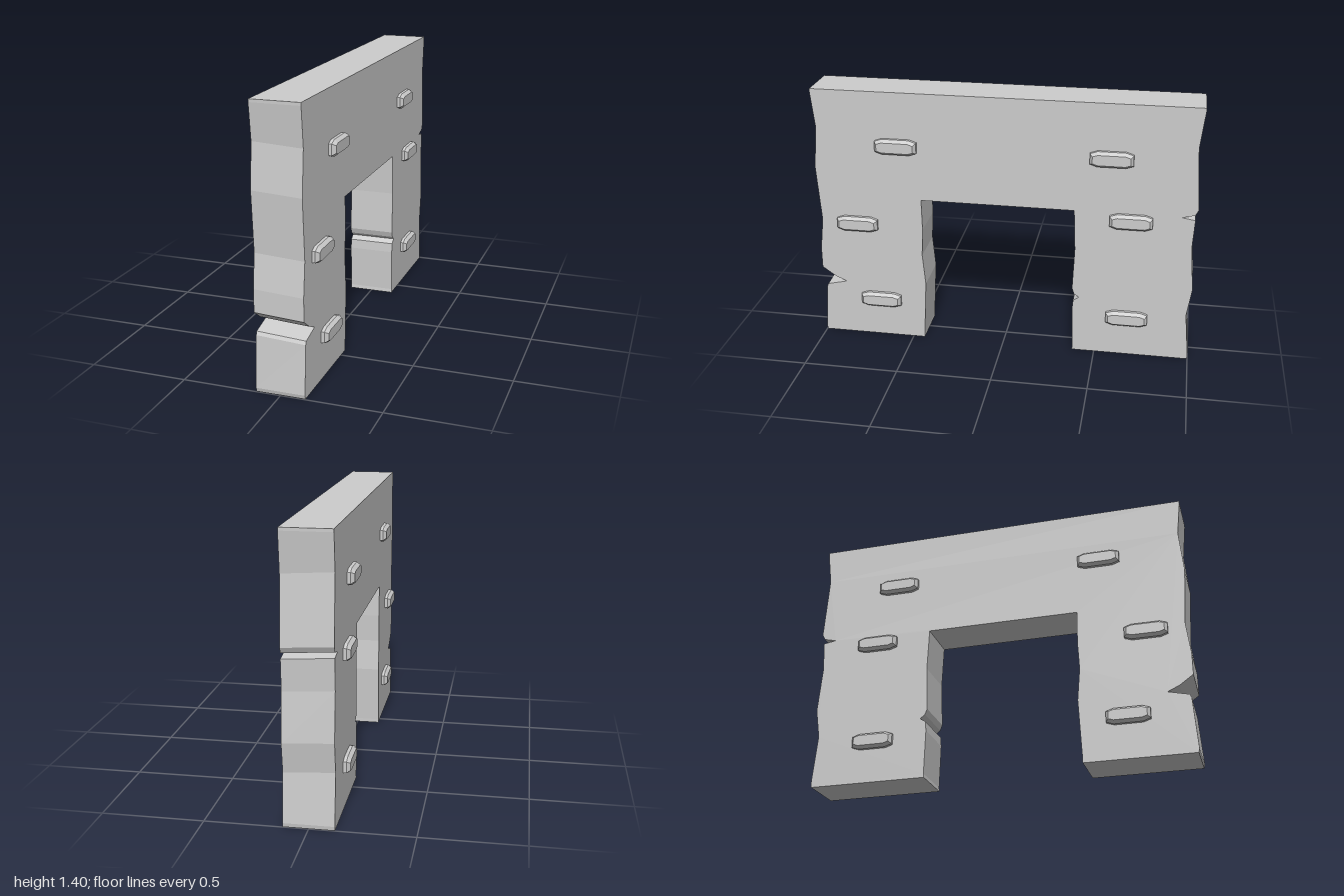
import * as THREE from 'three';

const material = new THREE.MeshStandardMaterial({ color: 0xcccccc });
const HALF = 0.123; // half the slab thickness

// Extrudes a [z, y] outline along x, centred on x = 0
function extrudeAcross(outline, depth, bevel = {}) {
  const shape = new THREE.Shape(outline.map(([z, y]) => new THREE.Vector2(-z, y)));
  const g = new THREE.ExtrudeGeometry(shape, { depth, bevelEnabled: false, ...bevel });
  g.translate(0, 0, -depth / 2);
  g.rotateY(Math.PI / 2);
  return g;
}

// Worn edges of the slab, as [z, y]
const frontEdge = [
  [1, 1.4], [1, 1.385], [0.98, 1.2], [1, 0.98], [0.98, 0.68], [1, 0.51], [1, 0.395],
  [0.93, 0.345], [0.868, 0.317], [0.975, 0.292], [0.983, 0.275], [1, 0.02], [0.995, 0],
];
const frontLegInner = [[0.437, 0], [0.437, 0.02], [0.422, 0.33], [0.437, 0.5], [0.43, 0.65], [0.433, 0.82]];
const backLegInner = [
  [-0.373, 0.82], [-0.382, 0.6], [-0.373, 0.37], [-0.384, 0.34], [-0.41, 0.32],
  [-0.38, 0.3], [-0.376, 0.25], [-0.382, 0.02], [-0.38, 0],
];
const backEdge = [
  [-0.997, 0], [-1, 0.02], [-0.977, 0.27], [-1, 0.42], [-0.98, 0.66], [-0.988, 0.815],
  [-0.92, 0.826], [-0.985, 0.842], [-1, 0.87], [-0.978, 1.2], [-1, 1.385], [-1, 1.4],
];

function makeSlab() {
  const g = extrudeAcross([...frontEdge, ...frontLegInner, ...backLegInner, ...backEdge], HALF * 2);
  // Slant the worn edges slightly from one face to the other
  const p = g.attributes.position;
  for (let i = 0; i < p.count; i++) {
    const y = p.getY(i), z = p.getZ(i);
    if (y > 0.1 && y < 1.3 && Math.abs(z) > 0.85) p.setY(i, y - 0.06 * p.getX(i));
  }
  g.computeVertexNormals();
  const slab = new THREE.Mesh(g, material);
  slab.name = 'archSlab';
  return slab;
}

// Chamfered studs, each a bar through the slab that shows on both faces
const studPlaces = [[0.557, 1.112], [-0.555, 1.112], [0.783, 0.665], [-0.666, 0.778], [0.672, 0.22], [-0.666, 0.22]];
const studOutline = [
  [0.11, 0.028], [0.11, -0.028], [0.072, -0.041], [-0.072, -0.041],
  [-0.11, -0.028], [-0.11, 0.028], [-0.072, 0.041], [0.072, 0.041],
];

function makeStuds() {
  const studs = new THREE.Group();
  studs.name = 'studs';
  const g = extrudeAcross(studOutline, 0.278, {
    bevelEnabled: true, bevelSegments: 1, bevelThickness: 0.018, bevelSize: 0.014, bevelOffset: -0.014,
  });
  studPlaces.forEach(([z, y], i) => {
    const stud = new THREE.Mesh(g, material);
    stud.name = `stud${i + 1}`;
    stud.position.set(0, y, z);
    studs.add(stud);
  });
  return studs;
}

export function createModel() {
  const model = new THREE.Group();
  model.name = 'wornArch';
  model.add(makeSlab(), makeStuds());
  return model;
}
